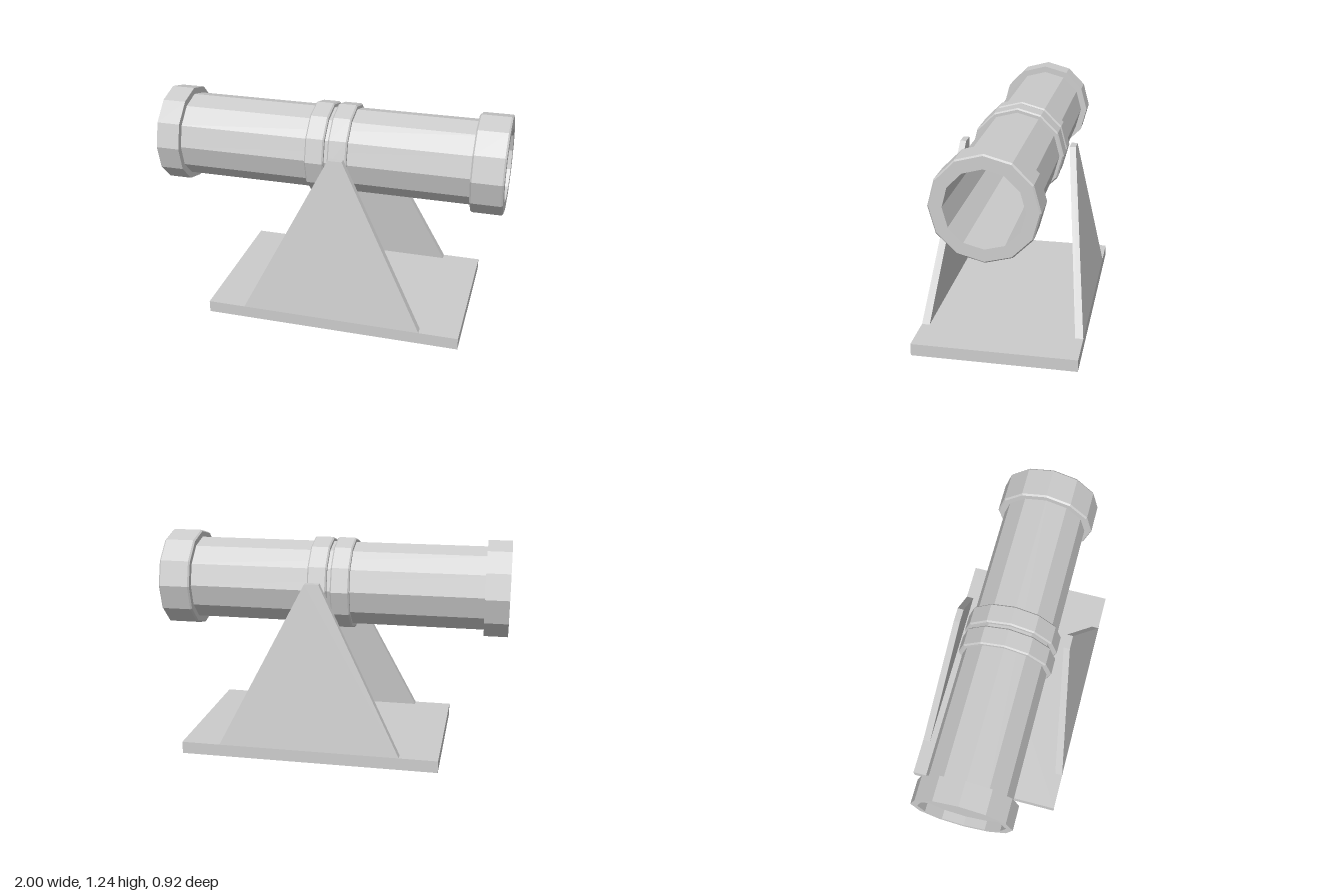
import * as THREE from 'three';

const AXIS_Y = 0.957;

export function createModel() {
  const model = new THREE.Group();
  const material = new THREE.MeshStandardMaterial({ color: 0xcccccc, flatShading: true });

  const add = (parent, name, geometry) => {
    const mesh = new THREE.Mesh(geometry, material);
    mesh.name = name;
    parent.add(mesh);
    return mesh;
  };

  // Base plate
  add(model, 'basePlate', new THREE.BoxGeometry(1.49, 0.07, 0.92)).position.set(0.09, 0.035, 0);

  // Tapered side supports, sheared inward towards the top
  const y0 = 0.07, y1 = 1.015;
  const outline = new THREE.Shape([
    new THREE.Vector2(-0.435, y0), new THREE.Vector2(0.61, y0),
    new THREE.Vector2(0.125, y1), new THREE.Vector2(0.045, y1),
  ]);
  for (const side of [1, -1]) {
    const geometry = new THREE.ExtrudeGeometry(outline, { depth: 1, bevelEnabled: false });
    const p = geometry.attributes.position;
    for (let i = 0; i < p.count; i++) {
      const t = (p.getY(i) - y0) / (y1 - y0);
      const inner = THREE.MathUtils.lerp(0.415, 0.3, t);
      const outer = THREE.MathUtils.lerp(0.46, 0.335, t);
      const outward = side > 0 ? p.getZ(i) : 1 - p.getZ(i);
      p.setZ(i, side * THREE.MathUtils.lerp(inner, outer, outward));
    }
    geometry.computeVertexNormals();
    add(model, side > 0 ? 'frontSupport' : 'backSupport', geometry);
  }

  // Twelve-sided barrel lying along x; profiles are [radius, x]
  const barrel = new THREE.Group();
  barrel.name = 'barrel';
  barrel.position.y = AXIS_Y;
  barrel.rotation.z = -Math.PI / 2;
  model.add(barrel);
  const turned = (name, profile) =>
    add(barrel, name, new THREE.LatheGeometry(profile.map(([r, x]) => new THREE.Vector2(r, x)), 12));

  // Tube with a deep bore, closed at the rear
  turned('tube', [[0, -0.95], [0.243, -0.95], [0.243, 0.9], [0.209, 0.9], [0.209, -0.9], [0, -0.9]]);

  // Rear collar standing proud of the closed end
  turned('rearCollar', [[0.243, -0.865], [0.243, -1], [0.28, -1], [0.28, -0.865], [0.243, -0.865]]);

  // Chamfered muzzle collar
  turned('muzzleCollar', [
    [0.24, 0.818], [0.276, 0.818], [0.284, 0.827], [0.284, 0.991], [0.276, 1], [0.209, 1], [0.209, 0.9],
  ]);

  // Pair of chamfered bands at the middle
  for (const [name, a, b] of [['rearBand', -0.113, -0.004], ['frontBand', 0.018, 0.129]]) {
    turned(name, [[0.24, a], [0.26, a], [0.268, a + 0.008], [0.268, b - 0.008], [0.26, b], [0.24, b]]);
  }

  return model;
}
